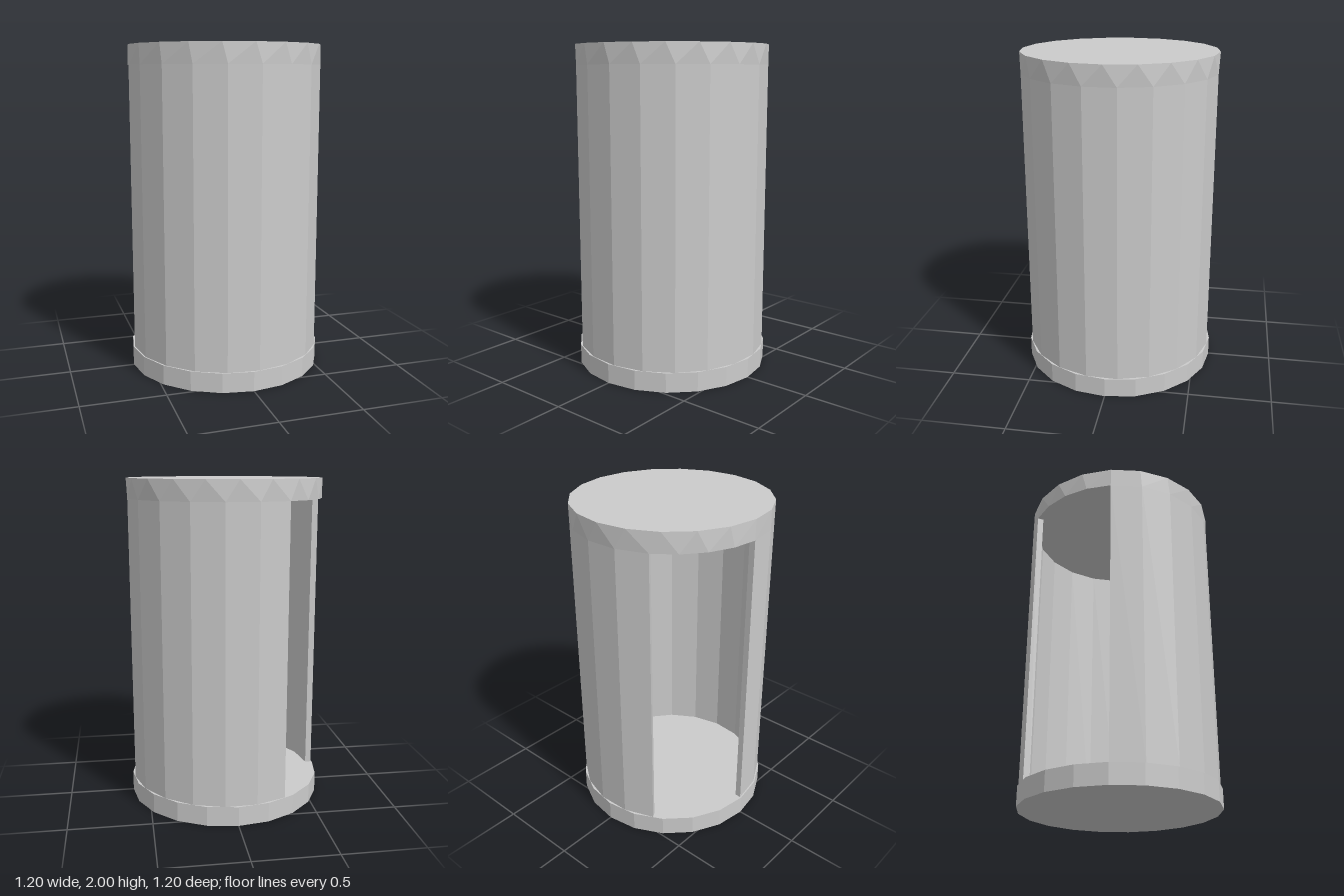
import * as THREE from 'three';

const material = new THREE.MeshStandardMaterial({ color: 0xcccccc, flatShading: true });
const BASE_R = 0.6, WALL_R = 0.592, INNER_R = 0.555;
const HEIGHT = 2, CAP_H = 0.12;
const SIDES = 20, WALL_SIDES = 16, ARC = 300;
const START = -90; // angle of the wall's first edge, from +z towards +x

// Angle of corner i: 16 steps along the wall, then 4 across the doorway
const cornerAngle = (i) => THREE.MathUtils.degToRad(
  START + (i <= WALL_SIDES
    ? (i * ARC) / WALL_SIDES
    : ARC + ((i - WALL_SIDES) * (360 - ARC)) / (SIDES - WALL_SIDES)));

function part(name, geometry, y) {
  const mesh = new THREE.Mesh(geometry, material);
  mesh.name = name;
  mesh.position.y = y;
  return mesh;
}

// Thick faceted wall, open over 60 degrees
function wallGeometry() {
  const outer = [], inner = [];
  for (let i = 0; i <= WALL_SIDES; i++) {
    const a = cornerAngle(i);
    const direction = new THREE.Vector2(Math.sin(a), -Math.cos(a));
    outer.push(direction.clone().multiplyScalar(WALL_R));
    inner.unshift(direction.clone().multiplyScalar(INNER_R));
  }
  const shape = new THREE.Shape([...outer, ...inner]);
  const geometry = new THREE.ExtrudeGeometry(shape, { depth: HEIGHT - 2 * CAP_H, bevelEnabled: false });
  return geometry.rotateX(-Math.PI / 2);
}

// Regular disc whose lower rim is twisted to meet the wall's corners
function lidGeometry() {
  const geometry = new THREE.CylinderGeometry(WALL_R, WALL_R, CAP_H, SIDES);
  const pos = geometry.attributes.position;
  for (let v = 0; v < pos.count; v++) {
    const x = pos.getX(v), z = pos.getZ(v), r = Math.hypot(x, z);
    if (pos.getY(v) > 0 || r < 0.01) continue;
    const turn = THREE.MathUtils.radToDeg(Math.atan2(x, z)) - START;
    const i = (Math.round((turn * SIDES) / 360) + SIDES) % SIDES;
    const a = cornerAngle(i);
    pos.setX(v, r * Math.sin(a));
    pos.setZ(v, r * Math.cos(a));
  }
  geometry.computeVertexNormals();
  return geometry;
}

export function createModel() {
  const model = new THREE.Group();
  model.name = 'openCylinderBooth';
  model.add(
    part('base', new THREE.CylinderGeometry(BASE_R, BASE_R, CAP_H, SIDES), CAP_H / 2),
    part('wall', wallGeometry(), CAP_H),
    part('lid', lidGeometry(), HEIGHT - CAP_H / 2),
  );
  return model;
}
